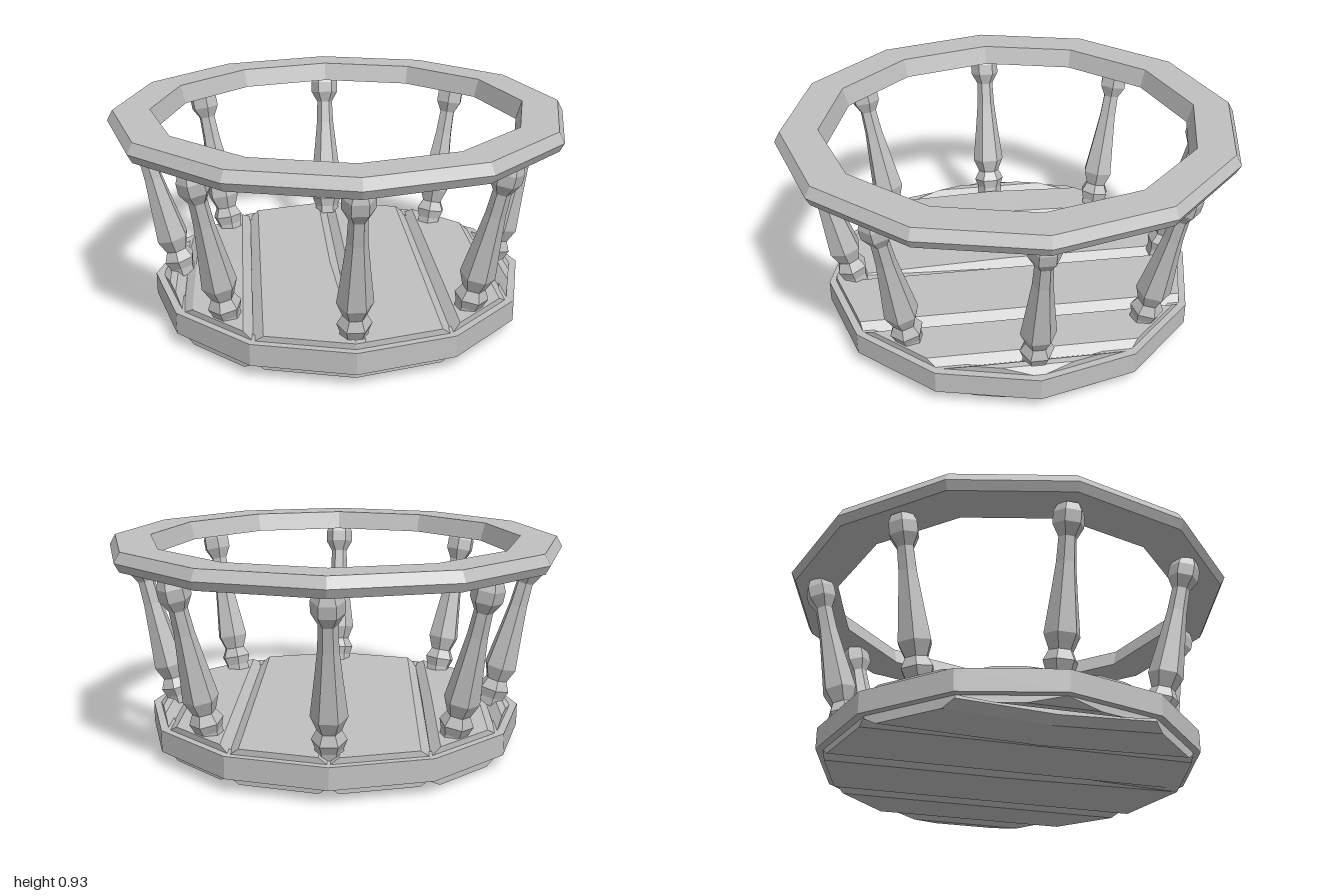
import * as THREE from 'three';

const SIDES = 12;

// Faceted normals for a low-poly look
function facet(geometry) {
  const g = geometry.index ? geometry.toNonIndexed() : geometry;
  g.computeVertexNormals();
  return g;
}

function lathe(points, sides) {
  return facet(new THREE.LatheGeometry(points.map(([r, y]) => new THREE.Vector2(r, y)), sides));
}

// Half depth of the twelve-sided floor at a given x
function halfDepth(x, radius) {
  const step = (Math.PI * 2) / SIDES;
  const ax = Math.min(Math.abs(x), radius);
  for (let i = 0; i < 3; i++) {
    const x0 = radius * Math.sin(i * step), x1 = radius * Math.sin((i + 1) * step);
    if (ax <= x1 + 1e-6) {
      const t = (ax - x0) / (x1 - x0);
      return radius * THREE.MathUtils.lerp(Math.cos(i * step), Math.cos((i + 1) * step), t);
    }
  }
  return 0;
}

// Chamfered plank whose ends follow the floor outline; bow bends its middle
function plank(x0, x1, bottom, top, bowDown, bowUp) {
  const c = 0.04, d = 0.03, mid = (bottom + top) / 2;
  const shape = new THREE.Shape([
    [x0 + c, bottom], [x1 - c, bottom], [x1, bottom + d], [x1, top - d],
    [x1 - c, top], [x0 + c, top], [x0, top - d], [x0, bottom + d],
  ].map(([x, y]) => new THREE.Vector2(x, y)));
  const g = new THREE.ExtrudeGeometry(shape, { depth: 2, steps: 2, bevelEnabled: false });
  const p = g.attributes.position;
  for (let i = 0; i < p.count; i++) {
    const x = p.getX(i), z = p.getZ(i) - 1;
    let y = p.getY(i);
    // the centre groove closes towards the front
    if (Math.abs(x) < 1e-4 && z > 0.5) y = y > mid ? top : bottom;
    if (Math.abs(z) < 0.5) y += y > mid ? bowUp : -bowDown;
    p.setXYZ(i, x, y, z * halfDepth(x, 0.8));
  }
  return facet(g);
}

export function createModel() {
  const model = new THREE.Group();
  model.name = 'lookoutPlatform';
  const grey = new THREE.MeshStandardMaterial({ color: 0xc0c0c0 });
  grey.name = 'plain grey';

  const add = (name, geometry, parent = model) => {
    const mesh = new THREE.Mesh(geometry, grey);
    mesh.name = name;
    parent.add(mesh);
    return mesh;
  };

  // Floor planks: x start, x end, bottom, top, bow down, bow up
  [
    [-0.8, -0.69, 0.03, 0.18, 0, 0],
    [-0.69, -0.4, 0.018, 0.18, 0.018, 0.015],
    [-0.4, 0, 0.03, 0.18, 0, 0],
    [0, 0.4, 0.03, 0.18, 0, 0],
    [0.4, 0.69, 0.03, 0.18, 0, 0],
    [0.69, 0.8, 0.03, 0.18, 0, 0],
  ].forEach((spec, i) => add('floorPlank' + (i + 1), plank(...spec)));

  // Band around the floor
  add('floorBand', lathe([
    [0.76, 0.06], [0.832, 0.06], [0.832, 0.155], [0.76, 0.155], [0.76, 0.06],
  ], SIDES));

  // Handrail
  add('handrail', lathe([
    [0.79, 0.845], [0.98, 0.845], [1.0, 0.882], [0.975, 0.927], [0.815, 0.927], [0.79, 0.845],
  ], SIDES));

  // Turned balusters leaning outwards
  const balusterShape = lathe([
    [0, -0.02], [0.058, -0.02], [0.058, 0.015], [0.072, 0.055], [0.05, 0.098], [0.075, 0.16],
    [0.055, 0.33], [0.042, 0.45], [0.038, 0.555], [0.066, 0.605], [0.066, 0.655], [0.05, 0.69], [0, 0.69],
  ], 6);
  balusterShape.rotateY(Math.PI / 6);
  const balusters = new THREE.Group();
  balusters.name = 'balusters';
  model.add(balusters);
  for (let i = 0; i < 8; i++) {
    const pivot = new THREE.Group();
    pivot.name = 'balusterMount' + (i + 1);
    pivot.rotation.y = (i * Math.PI) / 4;
    const baluster = add('baluster' + (i + 1), balusterShape, pivot);
    baluster.position.set(0, 0.18, 0.712);
    baluster.rotation.x = Math.atan(0.245);
    balusters.add(pivot);
  }
  return model;
}
